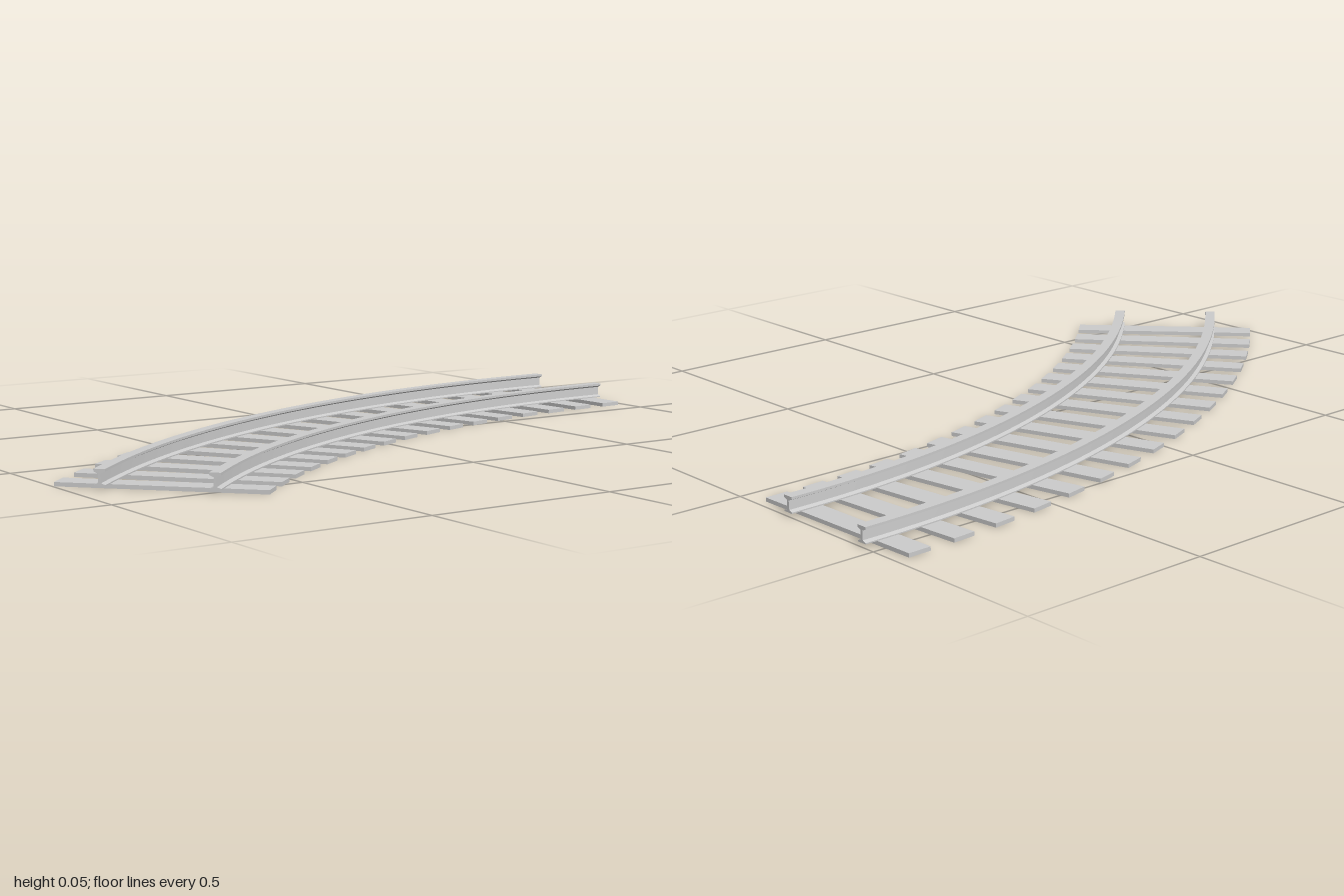
import * as THREE from 'three';
import { toCreasedNormals } from 'three/addons/utils/BufferGeometryUtils.js';

// Track arc: starts at x = 1 and sweeps towards -x and +z
const CENTRE_X = 1, CENTRE_Z = 2.314;
const SWEEP = THREE.MathUtils.degToRad(44.3);
const MID_RADIUS = 2.639, HALF_GAUGE = 0.135;
const SLEEPERS = 17;

const material = new THREE.MeshStandardMaterial({ color: 0xcccccc });

// I-shaped rail section: foot, thin web and head
function railSection() {
  const half = [
    [0.014, 0.01], [0.014, 0.013], [0.004, 0.017],
    [0.003, 0.039], [0.014, 0.044], [0.014, 0.05],
  ];
  const mirrored = half.map(([x, y]) => [-x, y]).reverse();
  return new THREE.Shape([...half, ...mirrored].map(([x, y]) => new THREE.Vector2(x, y)));
}

// Extrude the section straight, then bend it round the arc
function bentRail(radius) {
  const geometry = new THREE.ExtrudeGeometry(railSection(), { depth: 1, steps: 40, bevelEnabled: false });
  const pos = geometry.attributes.position;
  for (let i = 0; i < pos.count; i++) {
    const a = pos.getZ(i) * SWEEP, r = radius - pos.getX(i);
    pos.setXYZ(i, CENTRE_X - r * Math.sin(a), pos.getY(i), CENTRE_Z - r * Math.cos(a));
  }
  return toCreasedNormals(geometry, 0.3);
}

export function createModel() {
  const track = new THREE.Group();
  track.name = 'curvedTrack';

  // Rails
  for (const [name, side] of [['outerRail', 1], ['innerRail', -1]]) {
    const rail = new THREE.Mesh(bentRail(MID_RADIUS + side * HALF_GAUGE), material);
    rail.name = name;
    track.add(rail);
  }

  // Sleepers, evenly spaced and pointing at the arc centre
  const sleepers = new THREE.Group();
  sleepers.name = 'sleepers';
  const plank = new THREE.BoxGeometry(0.062, 0.01, 0.51);
  for (let i = 0; i < SLEEPERS; i++) {
    const a = ((i + 0.5) / SLEEPERS) * SWEEP;
    const sleeper = new THREE.Mesh(plank, material);
    sleeper.name = 'sleeper' + (i + 1);
    sleeper.position.set(CENTRE_X - MID_RADIUS * Math.sin(a), 0.005, CENTRE_Z - MID_RADIUS * Math.cos(a));
    sleeper.rotation.y = a;
    sleepers.add(sleeper);
  }
  track.add(sleepers);
  return track;
}
